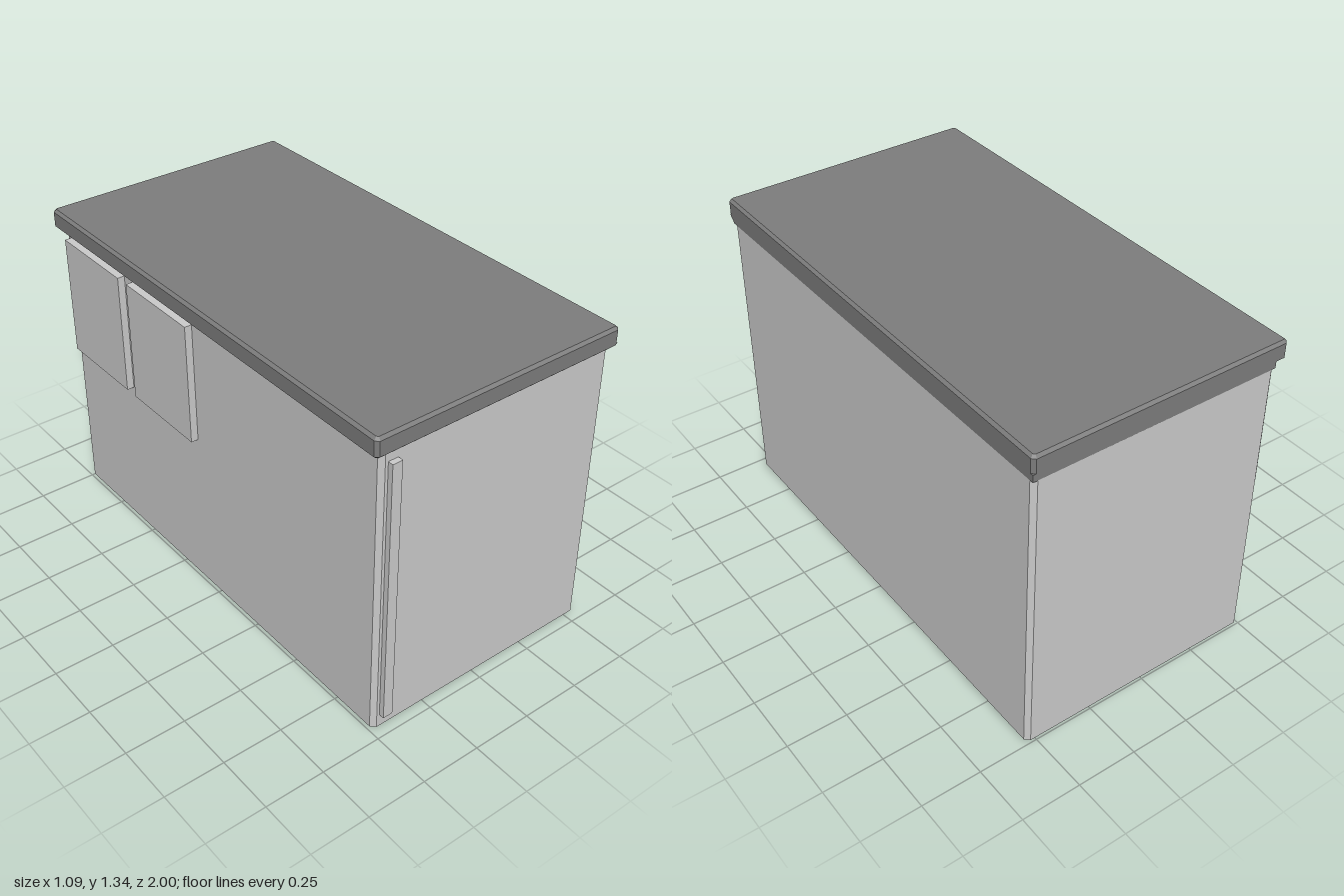
import * as THREE from 'three';

const grey = new THREE.MeshStandardMaterial({ color: 0xcccccc });
const dark = new THREE.MeshStandardMaterial({ color: 0x7d7d7d });

// Box between two corners with every edge chamfered by c
function chamferedBox([x0, y0, z0], [x1, y1, z1], c) {
  const w = (x1 - x0) / 2 - c, d = (z1 - z0) / 2 - c, k = c * 0.6;
  const shape = new THREE.Shape([
    [w, -d + k], [w, d - k], [w - k, d], [-w + k, d],
    [-w, d - k], [-w, -d + k], [-w + k, -d], [w - k, -d],
  ].map(([x, y]) => new THREE.Vector2(x, y)));
  const geo = new THREE.ExtrudeGeometry(shape, {
    depth: y1 - y0 - 2 * c, bevelEnabled: true, bevelSegments: 1, bevelSize: c, bevelThickness: c,
  });
  geo.rotateX(-Math.PI / 2).center();
  return geo.translate((x0 + x1) / 2, (y0 + y1) / 2, (z0 + z1) / 2);
}

function plainBox([x0, y0, z0], [x1, y1, z1]) {
  return new THREE.BoxGeometry(x1 - x0, y1 - y0, z1 - z0)
    .translate((x0 + x1) / 2, (y0 + y1) / 2, (z0 + z1) / 2);
}

export function createModel() {
  const group = new THREE.Group();
  const add = (name, geo, material = grey) => {
    const mesh = new THREE.Mesh(geo, material);
    mesh.name = name;
    group.add(mesh);
  };

  // Main block, its top chamfer buried in the roof
  add('body', chamferedBox([-0.495, 0, -1], [0.545, 1.256, 0.963], 0.015));

  // Roof slab, overhanging at the front and right
  add('roof', chamferedBox([-0.547, 1.257, -1], [0.547, 1.34, 1], 0.011), dark);

  // Roof underside, flush at the back and left, sloping out at the front
  const profile = new THREE.Shape([
    [1, 1.24], [-0.965, 1.24], [-0.996, 1.27], [1, 1.27],
  ].map(([z, y]) => new THREE.Vector2(z, y)));
  const skirt = new THREE.ExtrudeGeometry(profile, { depth: 1.042, bevelEnabled: false });
  skirt.rotateY(Math.PI / 2).translate(-0.496, 0, 0);
  add('roofSkirt', skirt, dark);

  // Narrow upright strip on the front
  add('frontStrip', plainBox([-0.465, 0.07, 0.95], [-0.423, 1.2, 0.985]));

  // Two raised panels on the right wall, near the back
  for (const z of [-0.96, -0.5]) {
    add('sidePanel', plainBox([-0.525, 0.7, z], [-0.48, 1.21, z + 0.4]));
  }
  return group;
}
